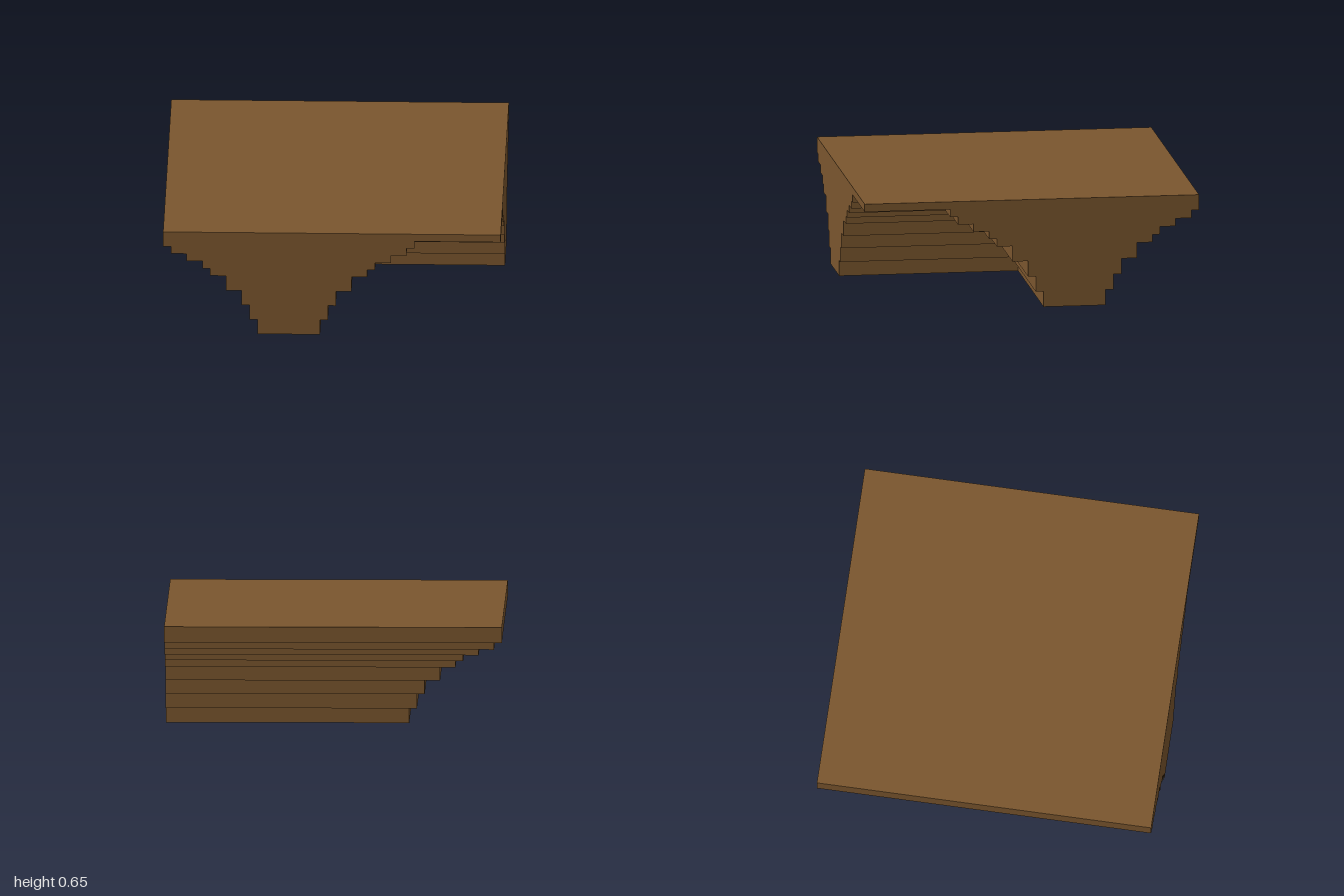
import * as THREE from 'three';

// The moulding lies on a grid of 43 cells across its two-unit width.
const CELL = 2 / 43;
const MIDDLE = 16; // centre line of each arm, in cells from the outer edge

// Courses from bottom to top: [height, half width of the arm], in cells.
const COURSES = [
  [2, 4], [2, 5], [2, 6], [2, 8], [1, 10],
  [1, 11], [1, 13], [1, 15], [1, 16],
];

const at = (cells) => cells * CELL - 1;

// L-shaped outline with its corner at the back right, open to the front left.
function cornerOutline(halfWidth) {
  const outer = at(MIDDLE - halfWidth);
  const inner = at(MIDDLE + halfWidth);
  return new THREE.Shape([
    [outer, outer], [1, outer], [1, inner],
    [inner, inner], [inner, 1], [outer, 1],
  ].map(([x, z]) => new THREE.Vector2(x, z)));
}

export function createModel() {
  const group = new THREE.Group();
  group.name = 'steppedCornerMoulding';
  const wood = new THREE.MeshStandardMaterial({ color: 0x7a562e });
  wood.name = 'brown wood';

  // Stepped corner courses, each wider than the one below
  let y = 0;
  COURSES.forEach(([cells, halfWidth], i) => {
    const height = cells * CELL;
    const geometry = new THREE.ExtrudeGeometry(cornerOutline(halfWidth), {
      depth: height, bevelEnabled: false,
    });
    geometry.rotateX(Math.PI / 2); // shape y becomes z, depth runs downward
    geometry.translate(0, y + height, 0);
    const course = new THREE.Mesh(geometry, wood);
    course.name = `cornerCourse${i + 1}`;
    group.add(course);
    y += height;
  });

  // Full square slab on top
  const slab = new THREE.Mesh(new THREE.BoxGeometry(2, CELL, 2), wood);
  slab.name = 'topSlab';
  slab.position.y = y + CELL / 2;
  group.add(slab);

  return group;
}
